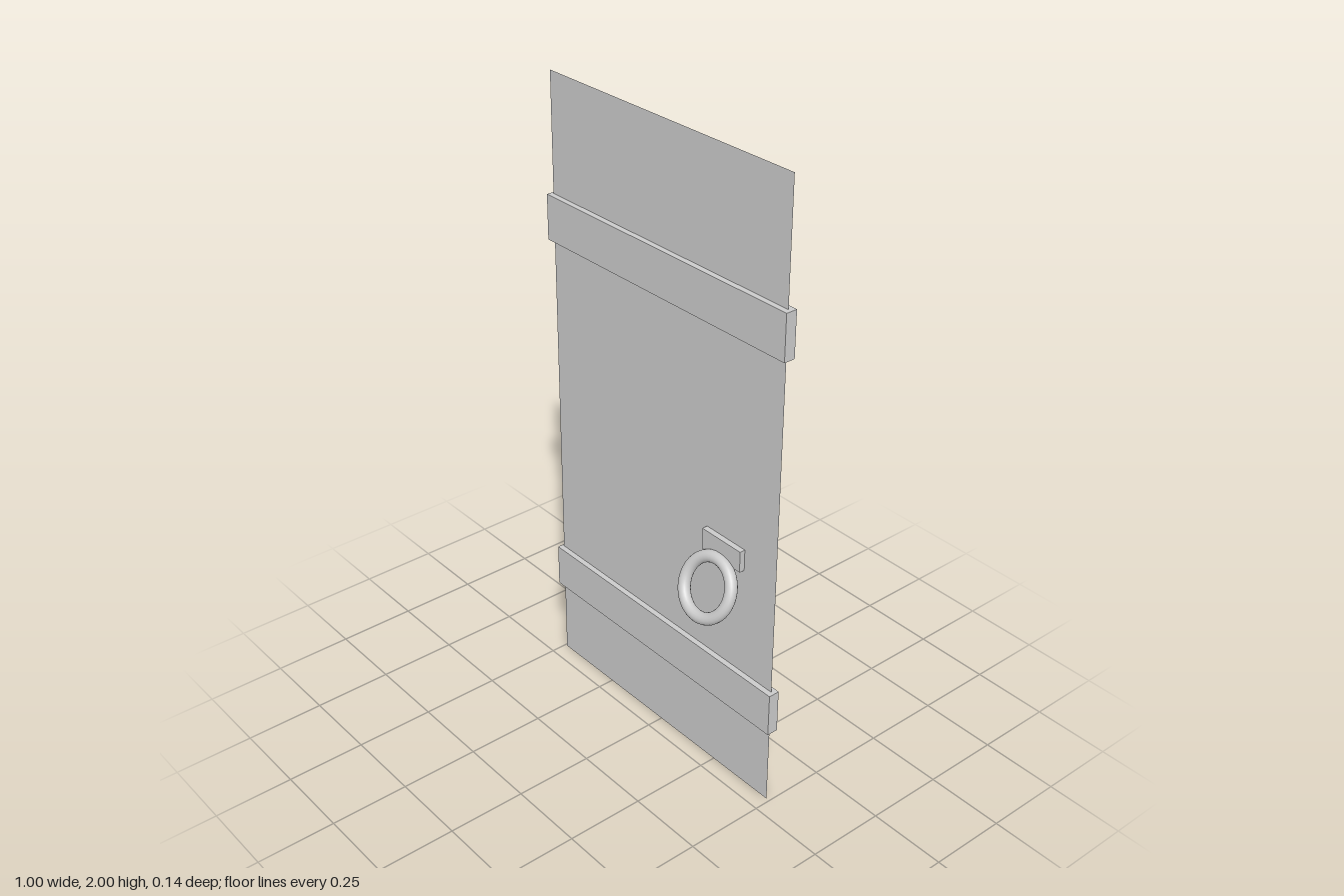
import * as THREE from 'three';

const DOOR_Z = -0.053;
const THICK = 0.036;

export function createModel() {
  const door = new THREE.Group();
  door.name = 'door';
  const material = new THREE.MeshStandardMaterial({ color: 0xcccccc });
  const thinMaterial = new THREE.MeshStandardMaterial({ color: 0xcccccc, side: THREE.DoubleSide });

  const add = (name, geometry, x, y, z, mat = material) => {
    const mesh = new THREE.Mesh(geometry, mat);
    mesh.name = name;
    mesh.position.set(x, y, z);
    door.add(mesh);
    return mesh;
  };

  // Thin door leaf, running through the middle of the straps
  add('doorPanel', new THREE.PlaneGeometry(0.98, 2), -0.002, 1, DOOR_Z, thinMaterial);

  // Cross straps wrapping both faces
  for (const [name, y] of [['lowerStrap', 0.334], ['upperStrap', 1.56]]) {
    add(name, new THREE.BoxGeometry(1, 0.142, THICK), 0, y, DOOR_Z);
  }

  // Handle plate, showing on both faces
  add('handlePlate', new THREE.BoxGeometry(0.16, 0.069, THICK), 0.278, 0.797, DOOR_Z);

  // Ring pull, hanging with its lower edge swung forward
  const ring = add('ringHandle', new THREE.TorusGeometry(0.0905, 0.019, 16, 40), 0.273, 0.686, 0.009);
  ring.rotation.x = -0.44;

  return door;
}
